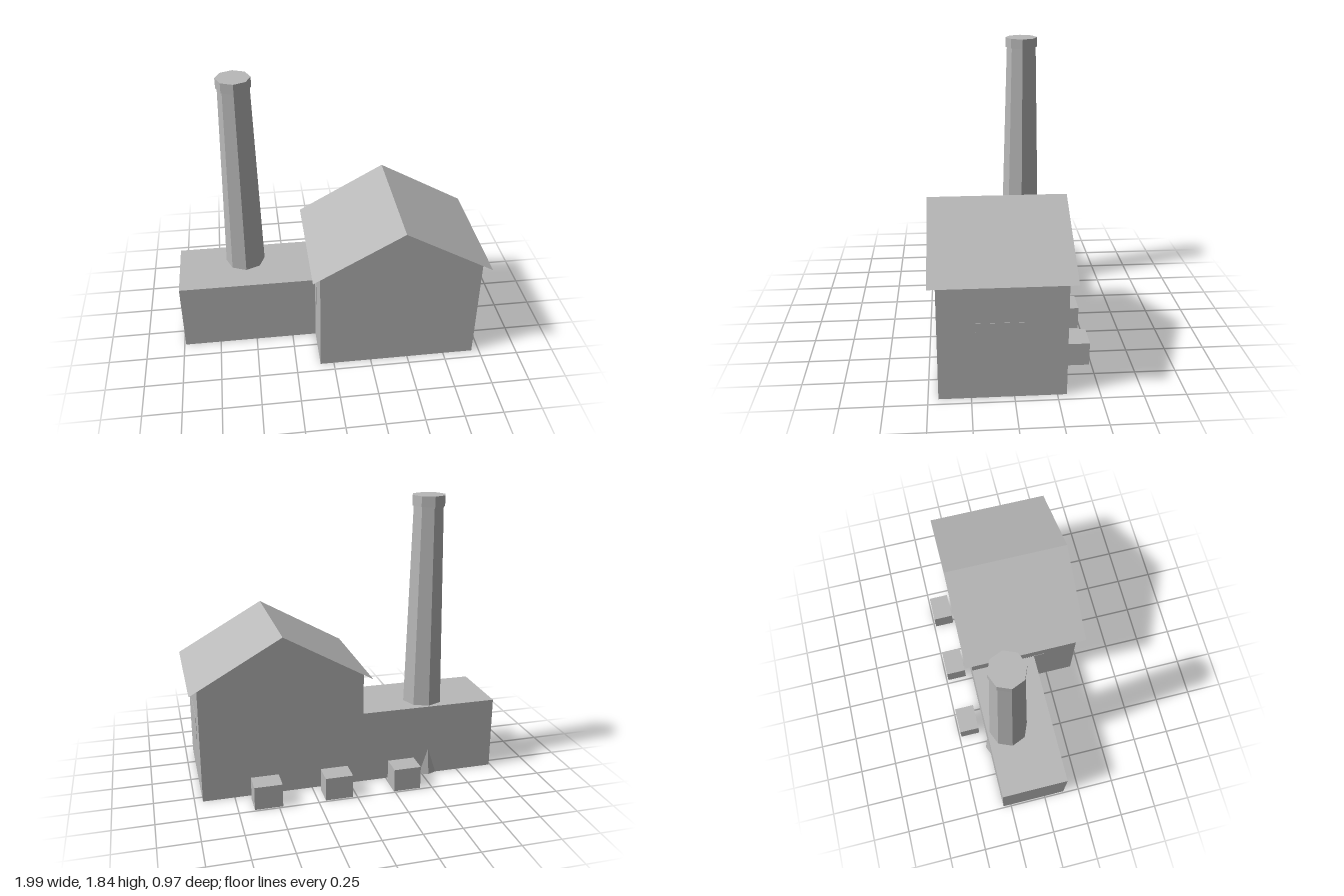
import * as THREE from 'three';

const grey = new THREE.MeshStandardMaterial({ color: 0xb8b8b8, flatShading: true, side: THREE.DoubleSide });
grey.name = 'grey';

// Open shell made of flat convex panels, corners anticlockwise from outside
function shell(panels) {
  const pos = [];
  for (const p of panels)
    for (let i = 1; i < p.length - 1; i++) pos.push(...p[0], ...p[i], ...p[i + 1]);
  const g = new THREE.BufferGeometry();
  g.setAttribute('position', new THREE.Float32BufferAttribute(pos, 3));
  g.computeVertexNormals();
  return g;
}

// Box with four walls and a top, open underneath
function openBox(x0, x1, h, z0, z1) {
  return shell([
    [[x0, 0, z1], [x1, 0, z1], [x1, h, z1], [x0, h, z1]],
    [[x1, 0, z0], [x0, 0, z0], [x0, h, z0], [x1, h, z0]],
    [[x1, 0, z1], [x1, 0, z0], [x1, h, z0], [x1, h, z1]],
    [[x0, 0, z0], [x0, 0, z1], [x0, h, z1], [x0, h, z0]],
    [[x0, h, z1], [x1, h, z1], [x1, h, z0], [x0, h, z0]],
  ]);
}

export function createModel() {
  const model = new THREE.Group();
  model.name = 'factory';
  const add = (name, geometry, x = 0, y = 0, z = 0, parent = model) => {
    const mesh = new THREE.Mesh(geometry, grey);
    mesh.name = name;
    mesh.position.set(x, y, z);
    parent.add(mesh);
    return mesh;
  };

  // Main hall: gabled walls, open underneath
  const L = -0.09, R = 0.95, F = 0.44, B = -0.305, mid = 0.43, eave = 0.75, ridge = 1.048;
  const gable = z => [[L, 0, z], [R, 0, z], [R, eave, z], [mid, ridge, z], [L, eave, z]];
  add('hallWalls', shell([
    gable(F),
    gable(B).reverse(),
    [[R, 0, F], [R, 0, B], [R, eave, B], [R, eave, F]],
    [[L, 0, B], [L, 0, F], [L, eave, F], [L, eave, B]],
  ]));

  // Thin roof sheets overhanging the walls
  const rF = 0.485, rB = -0.35, low = 0.727, top = 1.05;
  add('roof', shell([
    [[-0.14, low, rF], [mid, top, rF], [mid, top, rB], [-0.14, low, rB]],
    [[mid, top, rF], [1, low, rF], [1, low, rB], [mid, top, rB]],
  ]));

  // Low side wing
  add('wing', openBox(-0.99, L, 0.48, B, 0.14));

  // Window plates on the side walls
  const windowPlate = () => new THREE.BoxGeometry(0.004, 0.15, 0.32);
  add('hallWindowLeft', windowPlate(), R, 0.41, 0.06);
  add('hallWindowRight', windowPlate(), L, 0.41, 0.06);
  add('wingWindow', windowPlate(), -0.988, 0.25, -0.06);

  // Chimney: flared foot, tapering stack and a cap
  const chimney = new THREE.Group();
  chimney.name = 'chimney';
  chimney.position.set(-0.541, 0, -0.158);
  model.add(chimney);
  const ring = (name, rTop, rBottom, y0, y1, sides = 8) =>
    add(name, new THREE.CylinderGeometry(rTop, rBottom, y1 - y0, sides), 0, (y0 + y1) / 2, 0, chimney);
  ring('chimneyFoot', 0.137, 0.171, 0, 0.25);
  ring('chimneyStack', 0.099, 0.137, 0.25, 1.77);
  ring('chimneyCap', 0.108, 0.108, 1.77, 1.835);

  // Tank standing inside the hall
  add('tank', new THREE.CylinderGeometry(0.23, 0.265, 0.4, 10), 0.5, 0.2, 0.15);

  // Row of crates behind the building
  for (const x of [-0.335, 0.115, 0.563])
    add('crate', openBox(x - 0.088, x + 0.088, 0.15, -0.487, -0.352));

  return model;
}
